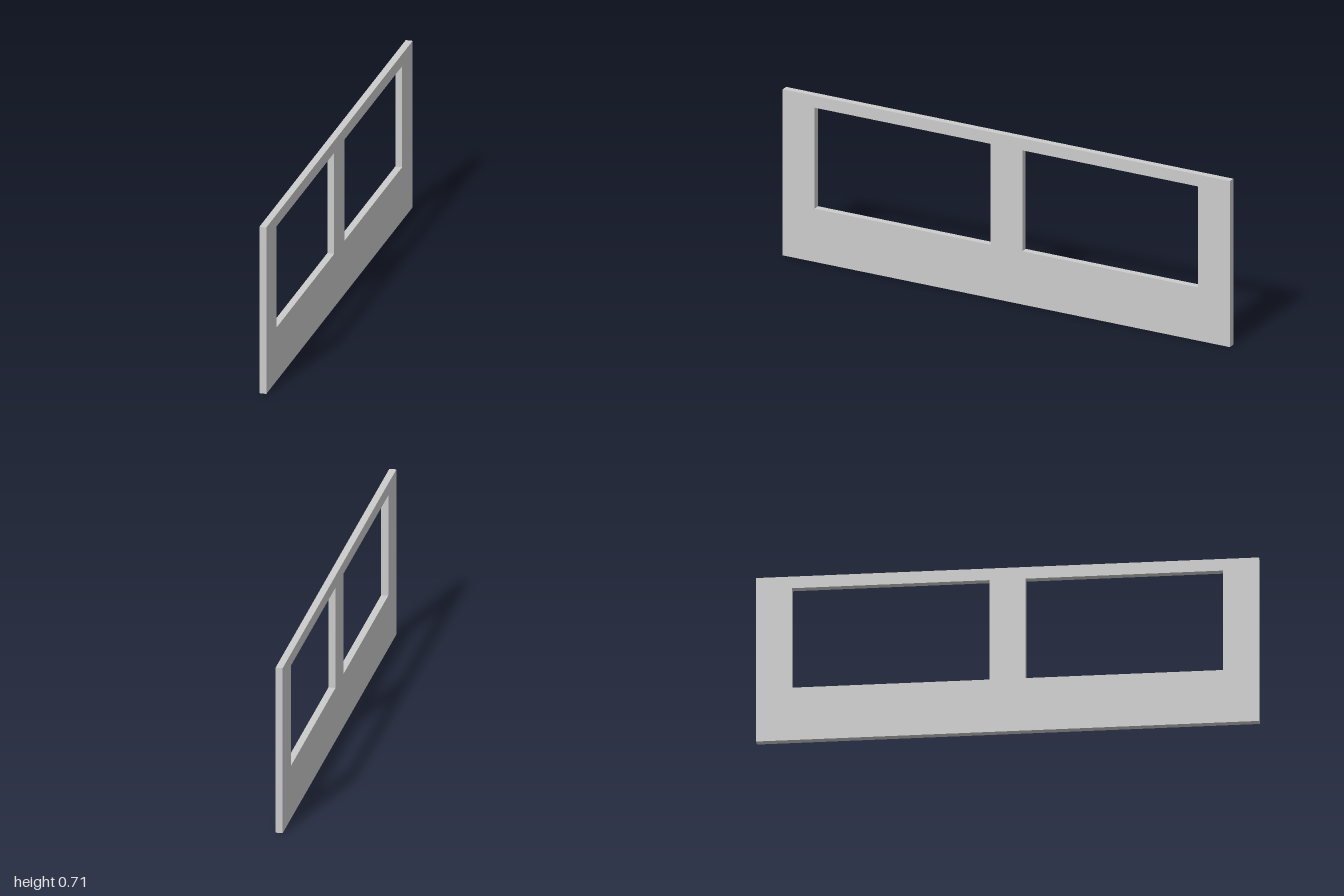
import * as THREE from 'three';

const LENGTH = 2, HEIGHT = 0.714, THICKNESS = 0.0286;
const OPENING = { inner: 0.0715, outer: 0.857, bottom: 0.229, top: 0.663 };

// Closed rectangle between two corners
function rectangle(PathType, x0, y0, x1, y1) {
  return new PathType()
    .moveTo(x0, y0)
    .lineTo(x1, y0)
    .lineTo(x1, y1)
    .lineTo(x0, y1)
    .closePath();
}

export function createModel() {
  const model = new THREE.Group();
  model.name = 'windowWall';

  // Wall outline with two mirrored window openings
  const outline = rectangle(THREE.Shape, -LENGTH / 2, 0, LENGTH / 2, HEIGHT);
  for (const side of [-1, 1]) {
    outline.holes.push(rectangle(
      THREE.Path,
      side * OPENING.inner, OPENING.bottom,
      side * OPENING.outer, OPENING.top
    ));
  }

  // Extrude the thickness, then turn the wall to run along z
  const geometry = new THREE.ExtrudeGeometry(outline, { depth: THICKNESS, bevelEnabled: false });
  geometry.translate(0, 0, -THICKNESS / 2);
  geometry.rotateY(Math.PI / 2);

  const wall = new THREE.Mesh(geometry, new THREE.MeshStandardMaterial({ color: 0xcccccc }));
  wall.name = 'wallPanel';
  model.add(wall);
  return model;
}
